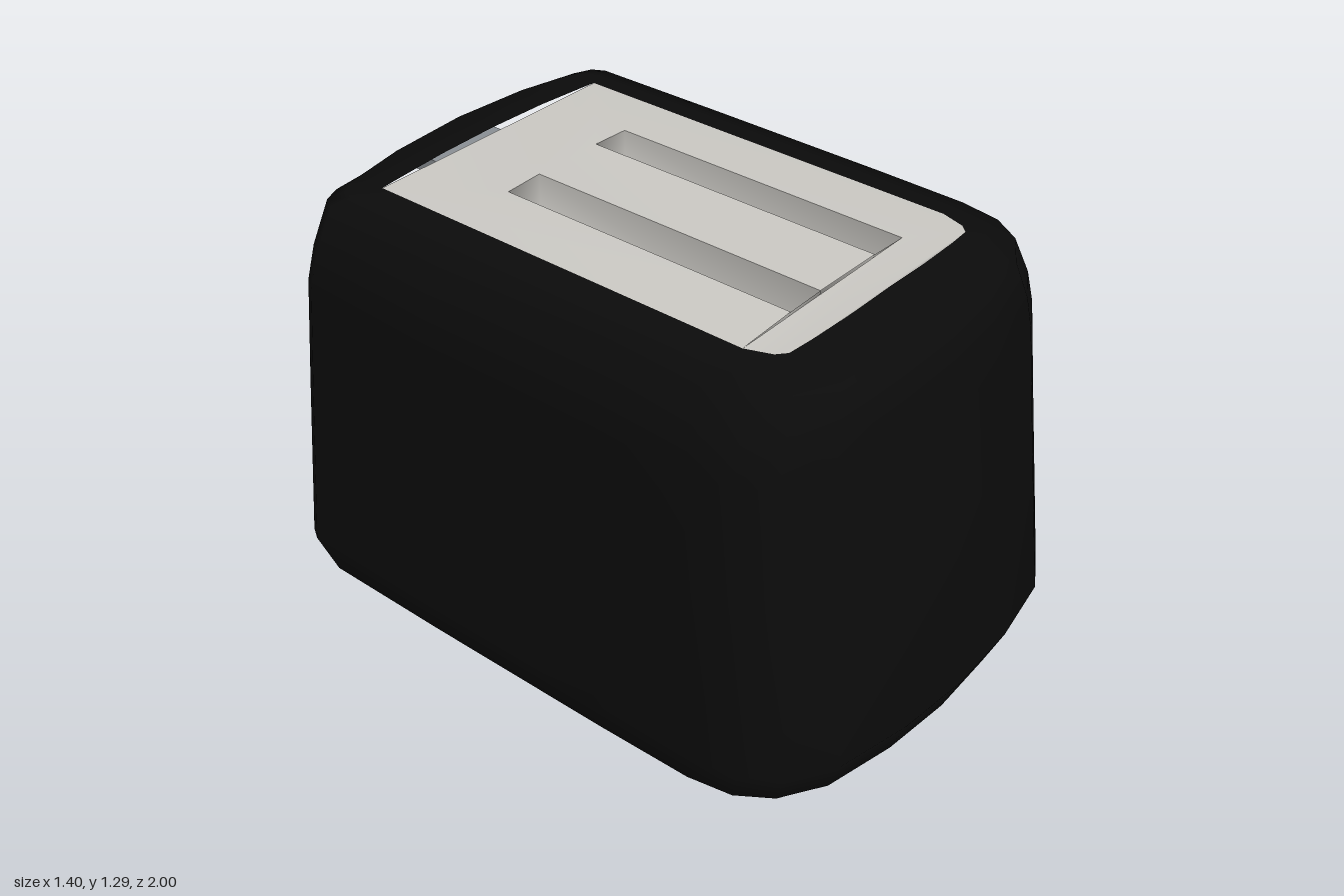
import * as THREE from 'three';

const paint = (name, color, side = THREE.FrontSide) => {
  const m = new THREE.MeshStandardMaterial({ color, side });
  m.name = name;
  return m;
};

// Gentle crown of the top: highest along x = 0
const crown = (x) => -0.1 * x * x;

// Skin a stack of closed rings, listed from bottom to top, with a cap below and an open top
function loft(rings) {
  const n = rings[0].length, pos = rings.flat(2), index = [];
  const c = new THREE.Vector3();
  rings[0].forEach((p) => c.add(new THREE.Vector3(...p)));
  c.divideScalar(n);
  pos.push(c.x, Math.min(...rings[0].map((p) => p[1])) - 0.003, c.z);
  for (let j = 0; j < n; j++) {
    const k = (j + 1) % n;
    index.push(rings.length * n, k, j);
    for (let i = 0; i < rings.length - 1; i++) {
      const a = i * n + j, b = i * n + k;
      index.push(a, b, b + n, a, b + n, a + n);
    }
  }
  const g = new THREE.BufferGeometry();
  g.setAttribute('position', new THREE.Float32BufferAttribute(pos, 3));
  g.setIndex(index);
  g.computeVertexNormals();
  return g;
}

// Complete a half outline running from front centre round +x to back centre
const mirror = (half) => [...half, ...half.slice(1, -1).reverse().map(([x, z]) => [-x, z])];

export function createModel() {
  const black = paint('black shell', 0x0b0b0b);
  const cream = paint('pale panel', 0xcccac5, THREE.DoubleSide);
  const metal = paint('grey metal', 0x8b9095);
  const model = new THREE.Group();
  model.name = 'toaster';
  const add = (name, geometry, material) => {
    const mesh = new THREE.Mesh(geometry, material);
    mesh.name = name;
    model.add(mesh);
    return mesh;
  };

  // Plan outline: bowed front, nearly square back
  const plan = mirror([
    [0, 1], [0.34, 0.985], [0.67, 0.94], [0.86, 0.86], [0.957, 0.76], [0.993, 0.62], [1, 0.3],
    [1, -0.4], [0.993, -0.895], [0.957, -0.94], [0.86, -0.967], [0.5, -0.99], [0, -1],
  ]);
  // Panel outline, matched point for point with the plan
  const panelOutline = mirror([
    [0, 0.68], [0.15, 0.68], [0.3, 0.67], [0.375, 0.66], [0.4, 0.635], [0.425, 0.56], [0.425, 0.2],
    [0.425, -0.3], [0.425, -0.62], [0.425, -0.675], [0.38, -0.675], [0.2, -0.675], [0, -0.675],
  ]);

  // Shell levels: height, half width, front depth, back depth, crown amount
  const levels = [
    [0.004, 0.5, 0.84, 0.8, 0], [0.018, 0.59, 0.9, 0.84, 0], [0.03, 0.63, 0.925, 0.845, 0],
    [0.06, 0.66, 0.945, 0.85, 0], [0.18, 0.7, 1, 0.89, 0], [0.7, 0.668, 0.94, 0.86, 0],
    [1.03, 0.645, 0.905, 0.842, 0], [1.13, 0.615, 0.895, 0.837, 0],
    [1.246, 0.555, 0.872, 0.83, 0], [1.28, 0.5, 0.8, 0.81, 1],
  ];
  const rings = levels.map(([y, w, front, back, k]) =>
    plan.map(([x, z]) => [x * w, y + k * crown(x * w), z * (z > 0 ? front : back)]));
  const topY = 1.29;
  rings.push(panelOutline.map(([x, z]) => [x, topY + crown(x), z]));
  add('shell', loft(rings), black);

  // Top panel with two slot openings, bent over the crown
  const slotCorners = (cx, inset = 0) => {
    const w = 0.06 - inset, f = 0.56 - inset, b = -0.385 + inset;
    return [[cx - w, f], [cx + w, f], [cx + w, b], [cx - w, b]];
  };
  const slots = [-0.178, 0.172];
  const toPath = (pts) => pts.map(([x, z]) => new THREE.Vector2(x, -z));
  const shape = new THREE.Shape(toPath(panelOutline));
  slots.forEach((cx) => shape.holes.push(new THREE.Path(toPath(slotCorners(cx)))));
  const panel = new THREE.ShapeGeometry(shape).rotateX(-Math.PI / 2);
  const p = panel.attributes.position;
  for (let i = 0; i < p.count; i++) p.setY(i, topY + crown(p.getX(i)));
  panel.computeVertexNormals();
  add('topPanel', panel, cream);

  // Slot wells
  slots.forEach((cx, i) => {
    const floor = slotCorners(cx, 0.005).map(([x, z]) => [x, 1.09, z]);
    const rim = slotCorners(cx).map(([x, z]) => [x, topY + crown(x), z]);
    add(i ? 'leftSlot' : 'rightSlot', loft([floor, rim]), cream);
  });

  // Push-down lever on the back
  add('lever', new THREE.BoxGeometry(0.27, 0.05, 0.17), metal).position.set(0.095, 1.105, -0.915);

  // Faceted dial, leaning with the back wall
  const dial = new THREE.CylinderGeometry(0.132, 0.132, 0.09, 14)
    .rotateX(-Math.PI / 2 + 0.06).toNonIndexed();
  dial.computeVertexNormals();
  const knob = add('dial', dial, metal);
  knob.position.set(0.342, 0.345, -0.918);
  knob.rotation.y = -0.06;

  return model;
}
